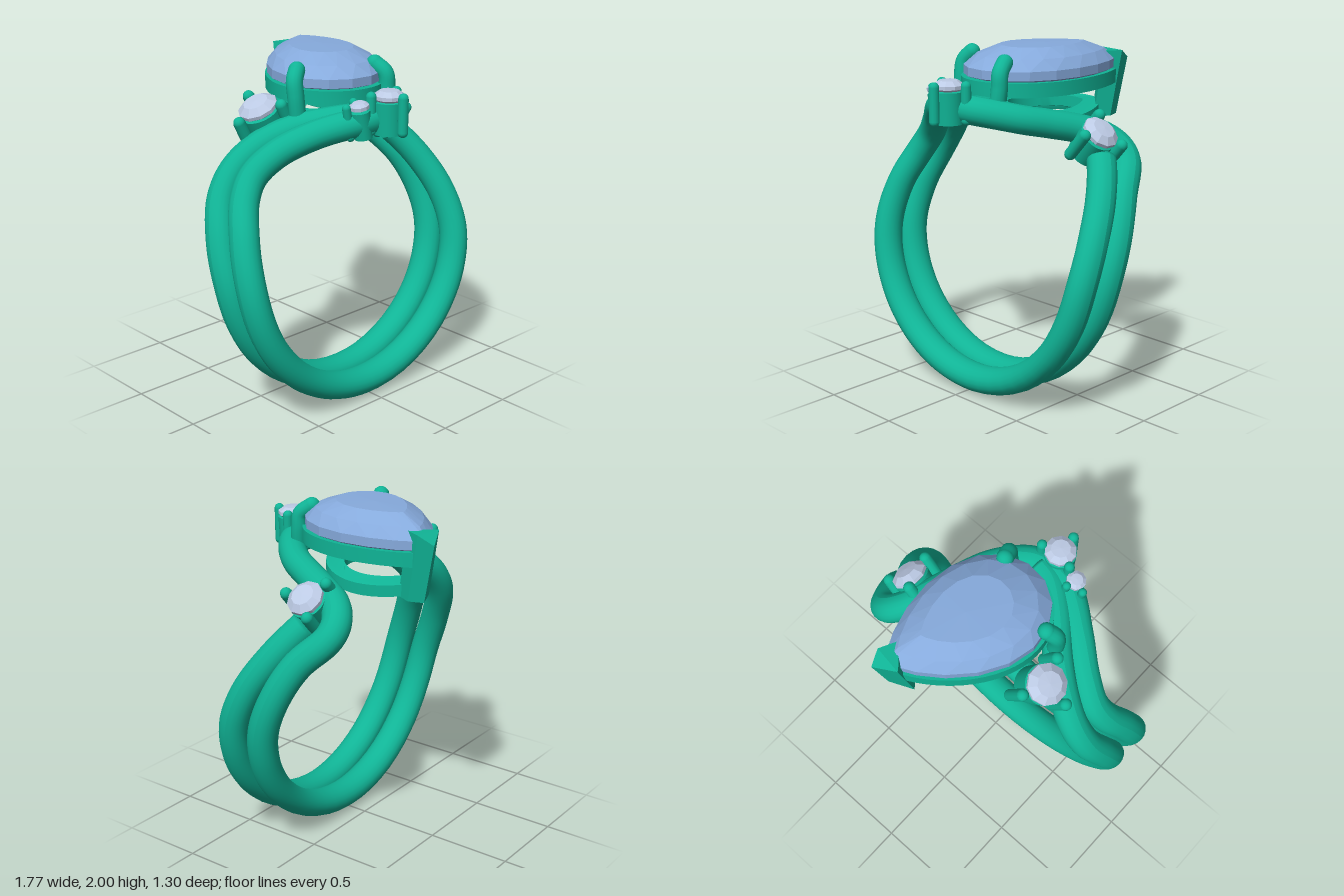
import * as THREE from 'three';
import { toCreasedNormals } from 'three/addons/utils/BufferGeometryUtils.js';

const metal = new THREE.MeshStandardMaterial({ color: 0x10b496, side: THREE.DoubleSide });
const blueGem = new THREE.MeshStandardMaterial({ color: 0x86aadc, flatShading: true });
const paleGem = new THREE.MeshStandardMaterial({ color: 0xbccae4, flatShading: true });
const CY = 0.885, R = 0.805; // centre height and radius of the band

function mesh(name, geometry, material = metal) {
  const m = new THREE.Mesh(geometry, material);
  m.name = name;
  return m;
}

function loftGeometry(points, index) {
  const g = new THREE.BufferGeometry();
  g.setAttribute('position', new THREE.Float32BufferAttribute(points.flatMap(p => [p.x, p.y, p.z]), 3));
  g.setIndex(index);
  g.computeVertexNormals();
  return g;
}

// One strand winding twice round the finger: [degrees from the top, z]
const STRAND = [
  [48, -0.06], [55, 0], [65, 0.09], [80, 0.22], [95, 0.31], [110, 0.345], [130, 0.36], [180, 0.365],
  [210, 0.365], [240, 0.35], [265, 0.31], [285, 0.22], [300, 0.13], [310, 0.11], [322, 0.17],
  [335, 0.29], [350, 0.43], [360, 0.455], [368, 0.43], [380, 0.28], [387, 0.11], [392, -0.03],
  [398, -0.17], [405, -0.235], [412, -0.23], [425, -0.09], [440, 0.02], [455, 0.1], [470, 0.135],
  [490, 0.155], [540, 0.16], [590, 0.155], [610, 0.14], [625, 0.11], [642, 0.03], [658, -0.05],
  [670, -0.055], [682, 0], [695, 0.12], [708, 0.3], [717, 0.4], [725, 0.43],
];

function strandGeometry() {
  const curve = new THREE.CatmullRomCurve3(STRAND.map(([t, z]) => new THREE.Vector3(t / 70, z, 0)));
  const steps = 320, sides = 20, points = [], index = [];
  const at = u => {
    const p = curve.getPoint(THREE.MathUtils.clamp(u, 0, 1)), t = THREE.MathUtils.degToRad(p.x * 70);
    return { t, p: new THREE.Vector3(R * Math.sin(t), CY + R * Math.cos(t), p.y) };
  };
  for (let i = 0; i <= steps; i++) {
    const { t, p } = at(i / steps);
    const tangent = at((i + 0.5) / steps).p.sub(at((i - 0.5) / steps).p).normalize();
    const radial = new THREE.Vector3(Math.sin(t), Math.cos(t), 0);
    const across = tangent.clone().cross(radial).normalize();
    const cap = i === 0 || i === steps ? 0 : 1;
    const wide = 0.095 - 0.013 * (1 + Math.cos(t)) / 2;
    for (let j = 0; j <= sides; j++) {
      const f = (j % sides) / sides * Math.PI * 2;
      points.push(p.clone().addScaledVector(radial, 0.08 * cap * Math.cos(f))
        .addScaledVector(across, wide * cap * Math.sin(f)));
      if (i < steps && j < sides) {
        const a = i * (sides + 1) + j, c = a + sides + 1;
        index.push(a, a + 1, c, a + 1, c + 1, c);
      }
    }
  }
  return loftGeometry(points, index);
}

// Teardrop outline in plan, angle 0 at the pointed tip; returns (x, z)
function pear(a, scale = 1, cx = 0.085, cz = -0.135) {
  const v = 0.471 * scale * Math.cos(a);
  const u = 0.375 * scale * Math.sin(a) * Math.pow(Math.abs(Math.sin(a / 2)), 0.6);
  return new THREE.Vector2(cx + 0.33 * v + 0.945 * u, cz - 0.945 * v + 0.33 * u);
}

// Faceted main stone; rings are [scale, y, stagger]
function pearGem() {
  const rings = [[0, 1.68, 0], [0.55, 1.76, 0.5], [1, 1.835, 0], [1, 1.885, 0],
    [0.84, 1.945, 0.5], [0.55, 1.995, 0], [0, 2, 0]];
  const n = 18, points = [], index = [];
  rings.forEach(([s, y, stagger], i) => {
    for (let j = 0; j < n; j++) {
      const q = pear((j + stagger) / n * Math.PI * 2, s);
      points.push(new THREE.Vector3(q.x, y, q.y));
      if (i === rings.length - 1) continue;
      const a = i * n + j, b = i * n + (j + 1) % n, c = a + n, d = b + n;
      if (stagger) index.push(a, c, d, a, d, b);
      else index.push(a, c, b, b, c, d);
    }
  });
  return loftGeometry(points, index);
}

// Flat teardrop ring
function pearRail(outer, inner, height, top, cx, cz) {
  const outline = s => Array.from({ length: 56 }, (_, i) => pear(i / 56 * Math.PI * 2, s, cx, cz));
  const shape = new THREE.Shape(outline(outer));
  shape.holes.push(new THREE.Path(outline(inner)));
  const g = new THREE.ExtrudeGeometry(shape, { depth: height, bevelEnabled: false });
  return g.rotateX(Math.PI / 2).translate(0, top, 0);
}

// Round stone in an open cup with prongs, pointing outward from the band
function stoneSetting(name, degrees, radius, z, r, prongs, prongR = 0.034) {
  const g = new THREE.Group(), t = THREE.MathUtils.degToRad(degrees);
  g.name = name;
  g.position.set(radius * Math.sin(t), CY + radius * Math.cos(t), z);
  g.rotation.z = -t;
  const depth = radius - 0.725;
  const profile = (...p) => p.map(([x, y]) => new THREE.Vector2(x, y));
  const cup = new THREE.LatheGeometry(profile([r * 0.55, -depth], [r * 0.92, -depth], [r, -0.035],
    [r * 0.85, -0.03], [r * 0.55, -depth]), 28);
  g.add(mesh('cup', toCreasedNormals(cup, 0.6)));
  g.add(mesh('stone', new THREE.LatheGeometry(profile([0, -r * 0.8], [r, -0.02], [r, 0],
    [r * 0.62, r * 0.28], [0, r * 0.32]), 10), paleGem));
  for (const [x, pz] of prongs) {
    const prong = mesh('prong', new THREE.CapsuleGeometry(prongR, depth - prongR, 5, 12));
    prong.position.set(x * r, 0.01 - depth / 2, pz * r);
    g.add(prong);
  }
  return g;
}

// Curved claw with a rounded end
function claw(name, path) {
  const g = new THREE.Group(), pts = path.map(p => new THREE.Vector3(...p));
  g.name = name;
  g.add(mesh('clawStem', new THREE.TubeGeometry(new THREE.CatmullRomCurve3(pts), 20, 0.047, 14)));
  const tip = mesh('clawTip', new THREE.SphereGeometry(0.047, 14, 10));
  tip.position.copy(pts[pts.length - 1]);
  g.add(tip);
  return g;
}

export function createModel() {
  const ring = new THREE.Group();
  ring.name = 'ring';
  ring.add(mesh('band', strandGeometry()));

  // Main stone with upper rail, and lower rail curved to follow the finger hole
  ring.add(mesh('mainStone', pearGem(), blueGem));
  ring.add(mesh('upperRail', toCreasedNormals(pearRail(1.03, 0.84, 0.08, 1.825), 0.6)));
  const lower = pearRail(0.76, 0.5, 0.065, 0.065, 0.083, -0.166);
  const pos = lower.attributes.position;
  for (let i = 0; i < pos.count; i++) {
    pos.setY(i, pos.getY(i) + CY - 0.01 + Math.sqrt(0.725 ** 2 - pos.getX(i) ** 2));
  }
  ring.add(mesh('lowerRail', toCreasedNormals(lower, 0.6)));

  // Leaning angular prong covering the tip of the main stone
  const section = [[0.14, -0.59], [0.275, -0.65], [0.305, -0.565], [0.257, -0.47], [0.17, -0.55]];
  const tip = new THREE.ExtrudeGeometry(new THREE.Shape(section.map(p => new THREE.Vector2(...p))),
    { depth: 0.38, bevelEnabled: false }).rotateX(Math.PI / 2).translate(0, 1.93, 0);
  const tp = tip.attributes.position;
  for (let i = 0; i < tp.count; i++) {
    const drop = (1.93 - tp.getY(i)) / 0.38;
    if (drop < 0.01 && tp.getZ(i) < -0.64) tp.setY(i, 1.88);
    tp.setX(i, tp.getX(i) - 0.02 * drop);
    tp.setZ(i, tp.getZ(i) + 0.07 * drop);
  }
  ring.add(mesh('tipProng', toCreasedNormals(tip, 0.3)));

  ring.add(claw('rightClaw', [[-0.31, 1.68, 0.13], [-0.32, 1.8, 0.125], [-0.315, 1.88, 0.11], [-0.275, 1.93, 0.085]]));
  ring.add(claw('leftClaw', [[0.18, 1.68, 0.33], [0.19, 1.8, 0.32], [0.185, 1.88, 0.31], [0.16, 1.93, 0.25]]));

  // Accent stones
  ring.add(stoneSetting('frontSetting', 0, 0.94, 0.52, 0.088, [[0, 1.2], [-1.1, -0.45], [1.1, -0.45]], 0.029));
  ring.add(stoneSetting('smallSetting', -10.5, 0.915, 0.46, 0.055, [[-1.25, -0.5], [0.3, -1.1]], 0.024));
  ring.add(stoneSetting('rightSetting', -27, 0.945, -0.07, 0.115, [[-1.3, 0], [0.5, -1.2], [0.5, 1.2]]));
  ring.add(stoneSetting('leftSetting', 41.5, 0.915, -0.05, 0.105, [[-1.05, -0.75], [1.05, -0.75], [0, 1.25]]));
  return ring;
}
